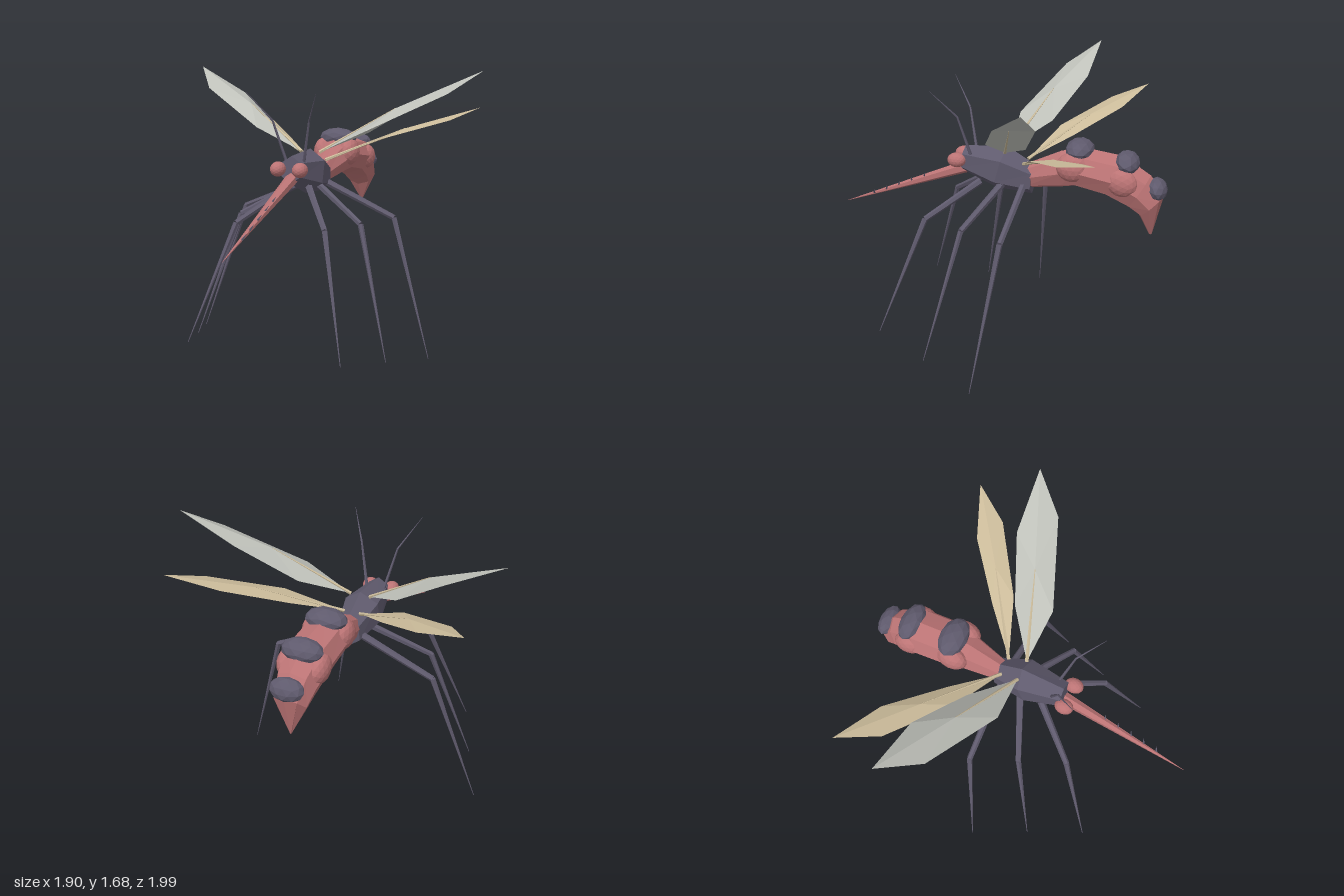
import * as THREE from 'three';

const mat = (name, color, side = THREE.FrontSide) =>
  Object.assign(new THREE.MeshStandardMaterial({ color, flatShading: true, side }), { name });

export function createModel() {
  const model = new THREE.Group();
  model.name = 'mosquito';
  const dark = mat('dark slate', 0x5f5a6d);
  const red = mat('dusty red', 0xbc7475);
  const greyWing = mat('pale grey wing', 0xbfc1ba, THREE.DoubleSide);
  const tanWing = mat('tan wing', 0xcbbb9a, THREE.DoubleSide);
  const V = (a) => new THREE.Vector3(...a);
  const mirrored = (p, s) => [p[0] * s, p[1], p[2]];

  const add = (name, geo, material) => {
    const mesh = new THREE.Mesh(geo, material);
    mesh.name = name;
    model.add(mesh);
    return mesh;
  };

  const facets = (triangles) => {
    const geo = new THREE.BufferGeometry().setFromPoints(triangles);
    geo.computeVertexNormals();
    return geo;
  };

  // Skin over oval rings running front to back: [topZ, topY, bottomZ, bottomY, halfWidth]
  const loft = (sections, sides) => {
    const centre = ([tz, ty, bz, by]) => new THREE.Vector3(0, (ty + by) / 2, (tz + bz) / 2);
    const point = (s, j) => {
      const a = (j / sides) * Math.PI * 2;
      const c = Math.cos(a) / 2;
      return centre(s).add(new THREE.Vector3(Math.sin(a) * s[4], c * (s[1] - s[3]), c * (s[0] - s[2])));
    };
    const tris = [];
    const last = sections[sections.length - 1];
    for (let j = 0; j < sides; j++) {
      for (let i = 0; i < sections.length - 1; i++) {
        const a = point(sections[i], j), b = point(sections[i], j + 1);
        const c = point(sections[i + 1], j), d = point(sections[i + 1], j + 1);
        tris.push(a, b, c, b, d, c);
      }
      tris.push(centre(sections[0]), point(sections[0], j + 1), point(sections[0], j));
      tris.push(centre(last), point(last, j), point(last, j + 1));
    }
    return facets(tris);
  };

  // Tapered rod between two points
  const rod = (name, from, to, r0, r1, material, sides = 6) => {
    const a = V(from), b = V(to), dir = b.clone().sub(a);
    const mesh = add(name, new THREE.CylinderGeometry(r1, r0, dir.length(), sides), material);
    mesh.position.copy(a).add(b).multiplyScalar(0.5);
    mesh.quaternion.setFromUnitVectors(new THREE.Vector3(0, 1, 0), dir.normalize());
  };

  const blob = (name, pos, scale, material, tilt = 0, detail = 1) => {
    const mesh = add(name, new THREE.IcosahedronGeometry(1, detail), material);
    mesh.position.set(...pos);
    mesh.scale.set(...scale);
    mesh.rotation.x = tilt;
  };

  // Body
  add('thorax', loft([
    [0.2, 1.195, 0.215, 1.035, 0.07],
    [-0.06, 1.21, 0.01, 0.95, 0.118],
    [-0.22, 1.12, -0.21, 0.935, 0.075],
  ], 6), dark);
  add('abdomen', loft([
    [-0.18, 1.12, -0.18, 0.97, 0.06],
    [-0.38, 1.215, -0.4, 1.0, 0.105],
    [-0.5, 1.25, -0.48, 1.015, 0.135],
    [-0.74, 1.22, -0.65, 0.98, 0.138],
    [-0.9, 1.12, -0.78, 0.92, 0.115],
    [-0.98, 1.01, -0.845, 0.88, 0.095],
    [-0.925, 0.765, -0.91, 0.765, 0.004],
  ], 8), red);

  // Dark humps along the back of the abdomen
  blob('frontHump', [0, 1.235, -0.49], [0.125, 0.062, 0.083], dark, -0.05);
  blob('middleHump', [0, 1.185, -0.765], [0.122, 0.06, 0.072], dark, -0.5);
  blob('rearHump', [0, 1.045, -0.94], [0.1, 0.054, 0.066], dark, -1.05);

  // Proboscis with a row of barbs
  rod('proboscis', [0, 1.1, 0.1], [0, 0.75, 1], 0.042, 0.001, red);
  for (let i = 0; i < 5; i++) {
    const z = 0.47 + i * 0.085;
    const y = 1.139 - 0.389 * z + 0.02 - i * 0.002;
    rod('barb', [0.008, y - 0.01, z], [0.028, y + 0.022, z - 0.012], 0.007, 0.001, dark, 4);
  }

  // Leg joints: hip, knee, foot
  const legs = {
    front: [[0.06, 1.0, 0.09], [0.28, 0.81, 0.36], [0.478, 0.13, 0.595]],
    middle: [[0.06, 1.0, -0.045], [0.39, 0.81, 0.1], [0.615, 0.065, 0.262]],
    rear: [[0.05, 1.0, -0.17], [0.5, 0.81, -0.165], [0.762, 0, -0.07]],
  };

  // Wings: root, two leading points, tip, two trailing points, then the raised rib
  const wings = {
    upper: [[0.06, 1.19, -0.06], [0.35, 1.325, -0.035], [0.79, 1.545, -0.215], [0.95, 1.675, -0.405],
      [0.62, 1.51, -0.39], [0.3, 1.3, -0.25], [0.48, 1.455, -0.21]],
    lower: [[0.05, 1.13, -0.17], [0.365, 1.26, -0.29], [0.72, 1.367, -0.532], [0.853, 1.435, -0.74],
      [0.57, 1.345, -0.625], [0.28, 1.225, -0.385], [0.46, 1.315, -0.45]],
  };

  for (const [side, s] of [['left', 1], ['right', -1]]) {
    const at = (p) => mirrored(p, s);

    for (const [name, [hip, knee, foot]] of Object.entries(legs)) {
      rod(`${side} ${name} upperLeg`, at(hip), at(knee), 0.022, 0.017, dark);
      rod(`${side} ${name} lowerLeg`, at(knee), at(foot), 0.017, 0.002, dark);
    }

    for (const [name, points] of Object.entries(wings)) {
      const material = name === 'upper' ? greyWing : tanWing;
      const p = points.map((q) => V(at(q)));
      const tris = [];
      for (let i = 0; i < 6; i++) {
        const a = p[i], b = p[(i + 1) % 6];
        tris.push(p[6], ...(s > 0 ? [a, b] : [b, a]));
      }
      add(`${side} ${name} wing`, facets(tris), material);
      rod(`${side} ${name} wingRib`, at(points[0]), at(points[6]), 0.011, 0.002, tanWing, 5);
    }

    // Antenna in two segments
    rod(`${side} antennaBase`, at([0.055, 1.15, 0.15]), at([0.115, 1.395, 0.21]), 0.01, 0.006, dark, 5);
    rod(`${side} antennaTip`, at([0.115, 1.395, 0.21]), at([0.215, 1.56, 0.337]), 0.006, 0.001, dark, 5);

    // Eyes and swollen flanks
    blob(`${side} eye`, at([0.07, 1.12, 0.235]), [0.044, 0.044, 0.056], red, 0, 2);
    blob(`${side} frontFlank`, at([0.085, 1.15, -0.465]), [0.063, 0.086, 0.095], red, 0, 2);
    blob(`${side} rearFlank`, at([0.09, 1.09, -0.75]), [0.058, 0.08, 0.092], red, -0.4, 2);
  }
  return model;
}
